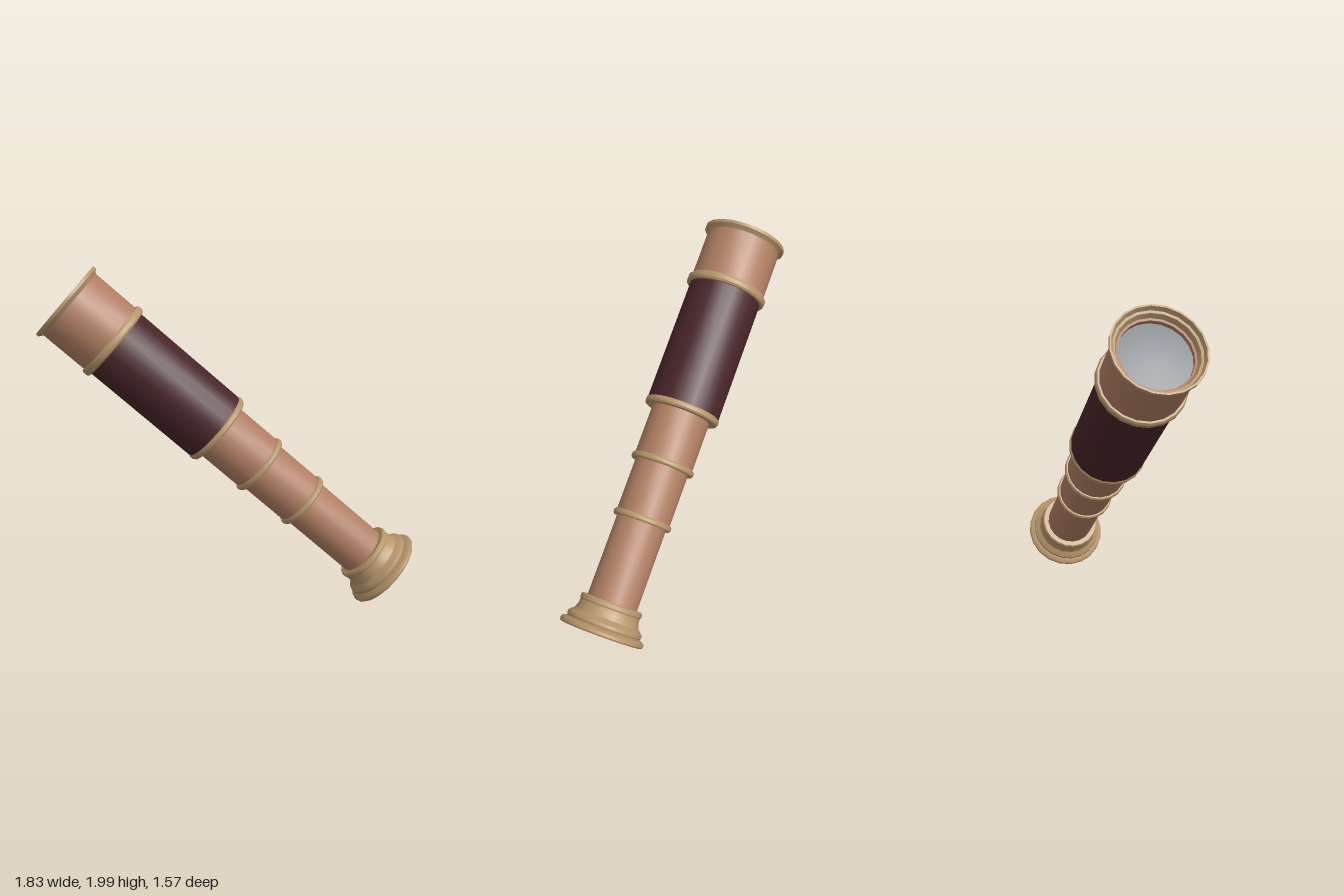
import * as THREE from 'three';
import { toCreasedNormals } from 'three/addons/utils/BufferGeometryUtils.js';

const SIDES = 20;

function material(name, color) {
  const m = new THREE.MeshStandardMaterial({ color });
  m.name = name;
  return m;
}

export function createModel() {
  const copper = material('copper', 0xb17f63);
  const brass = material('brass', 0xb6956a);
  const leather = material('dark leather', 0x48252a);
  const glass = material('grey glass', 0x757b80);

  const model = new THREE.Group();
  model.name = 'spyglass';

  // The tube runs along local y, from the eyepiece rim (0) to the front rim (L)
  const eyeEnd = new THREE.Vector3(0.722, 0.186, -0.57);
  const frontEnd = new THREE.Vector3(-0.722, 1.814, 0.57);
  const axis = frontEnd.clone().sub(eyeEnd);
  const L = axis.length();
  const body = new THREE.Group();
  body.name = 'telescopeBody';
  body.position.copy(eyeEnd);
  body.quaternion.setFromUnitVectors(new THREE.Vector3(0, 1, 0), axis.normalize());
  model.add(body);

  // Turned part from [radius, distance along axis] pairs
  function turned(name, mat, profile) {
    const pts = profile.map(([r, s]) => new THREE.Vector2(r, s));
    const geo = toCreasedNormals(new THREE.LatheGeometry(pts, SIDES), 0.5);
    const mesh = new THREE.Mesh(geo, mat);
    mesh.name = name;
    body.add(mesh);
  }

  // Draw tubes: radius, start, end
  [
    ['eyeTube', copper, 0.147, 0.15, 0.68],
    ['middleTube', copper, 0.159, 0.67, 1.01],
    ['rearTube', copper, 0.174, 1.01, 1.34],
    ['leatherGrip', leather, 0.217, 1.34, 2.11],
    ['frontTube', copper, 0.223, 2.11, L - 0.03],
  ].forEach(([name, mat, r, a, b]) => turned(name, mat, [[r, a], [r, b]]));

  // Brass joint rings: inner radius, outer radius, centre, width
  [
    ['eyeTubeRing', 0.14, 0.173, 0.675, 0.034],
    ['middleTubeRing', 0.15, 0.188, 1.013, 0.034],
    ['rearTubeRing', 0.165, 0.223, 1.342, 0.038],
    ['frontTubeRing', 0.205, 0.241, 2.112, 0.046],
  ].forEach(([name, inner, r, s, w]) => turned(name, brass, [
    [inner, s - w / 2], [r - 0.007, s - w / 2], [r, s - w / 4],
    [r, s + w / 4], [r - 0.007, s + w / 2], [inner, s + w / 2],
  ]));

  // Flared eyepiece with a hollow bowl
  turned('eyepiece', brass, [
    [0.035, 0.088], [0.08, 0.08], [0.13, 0.062], [0.175, 0.036], [0.213, 0],
    [0.238, 0], [0.246, 0.008], [0.246, 0.024], [0.236, 0.034], [0.214, 0.042],
    [0.22, 0.052], [0.22, 0.068], [0.208, 0.08], [0.19, 0.095], [0.179, 0.125],
    [0.177, 0.15], [0.182, 0.158], [0.182, 0.178], [0.175, 0.186], [0.14, 0.186],
  ]);
  turned('eyeLens', glass, [[0, 0.066], [0.022, 0.071], [0.037, 0.081], [0.042, 0.092]]);

  // Flared front rim, stepping inward to the lens seat
  turned('frontRim', brass, [
    [0.218, L - 0.045], [0.228, L - 0.032], [0.246, L - 0.018], [0.246, L],
    [0.236, L], [0.226, L - 0.024], [0.213, L - 0.028], [0.202, L - 0.056],
  ]);
  turned('lensSeat', copper, [[0.202, L - 0.056], [0.191, L - 0.06], [0.191, L - 0.1]]);
  turned('frontLens', glass, [[0.192, L - 0.086], [0.13, L - 0.078], [0.065, L - 0.073], [0, L - 0.071]]);

  return model;
}
